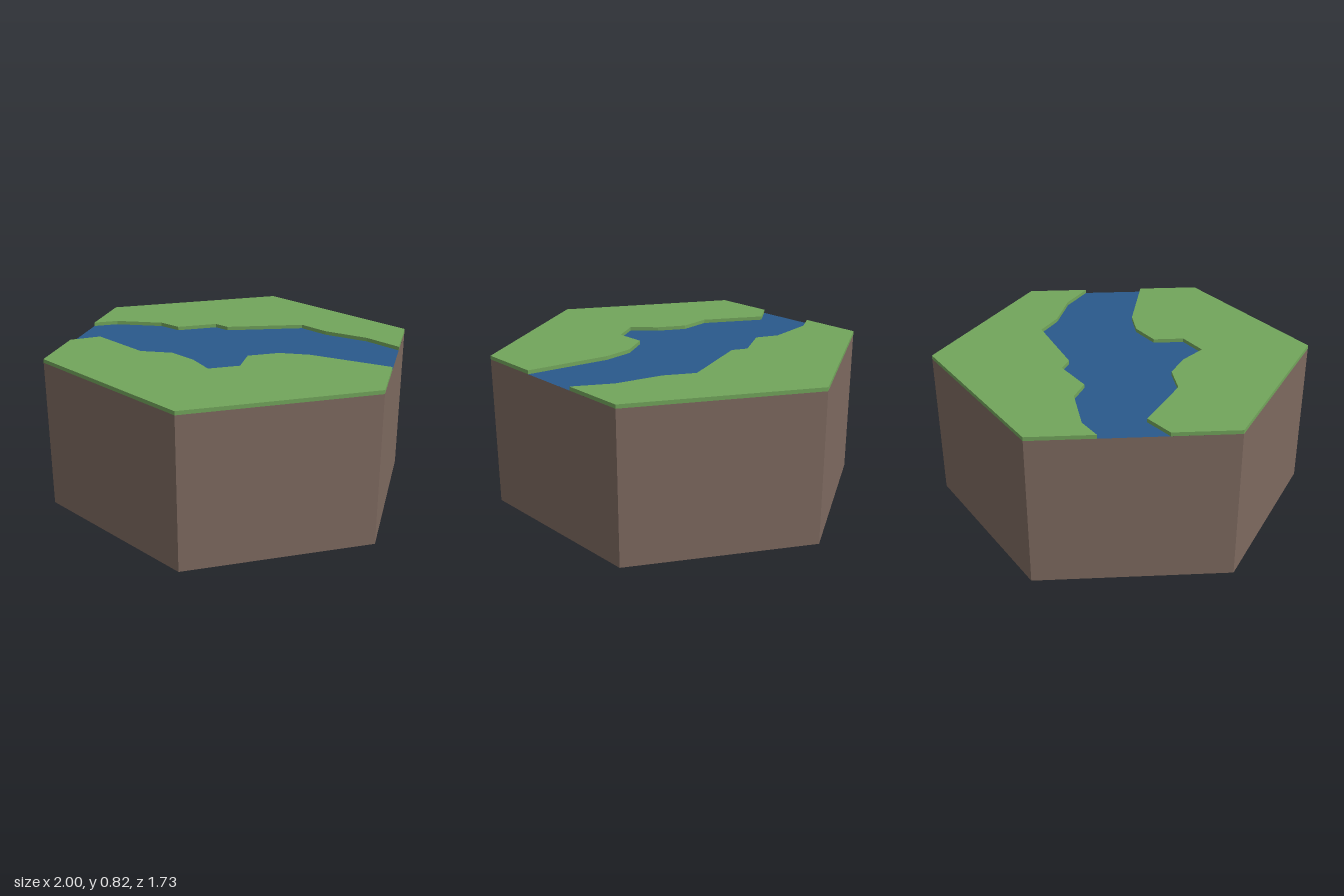
import * as THREE from 'three';

const BASE = 0.8, TURF = 0.02, H = Math.sqrt(3) / 2;

// River banks as [x, z], running from the back-left edge to the front-right edge
const backBank = [
  [-0.667, -0.577], [-0.535, -0.577], [-0.295, -0.475], [-0.22, -0.37], [0, -0.37],
  [0.05, -0.297], [0.47, -0.225], [0.555, -0.075], [0.73, 0.1], [0.833, 0.289],
];
const frontBank = [
  [-0.833, -0.289], [-0.67, -0.305], [-0.5, 0], [-0.345, 0.072], [-0.265, 0.21], [-0.225, 0.36],
  [-0.06, 0.36], [0.02, 0.22], [0.19, 0.22], [0.335, 0.29], [0.667, 0.577],
];

const toShape = (points) => new THREE.Shape(points.map(([x, z]) => new THREE.Vector2(x, -z)));

export function createModel() {
  const group = new THREE.Group();
  const material = (color) => new THREE.MeshStandardMaterial({ color, flatShading: true });
  const soil = material(0x7d695f), grass = material(0x72a55b), water = material(0x2a598b);

  const add = (name, geometry, mat, y) => {
    const mesh = new THREE.Mesh(geometry, mat);
    mesh.name = name;
    mesh.position.y = y;
    group.add(mesh);
  };

  // Hexagonal soil block, corners on the x axis; its top is covered by turf and water
  add('soilSides', new THREE.CylinderGeometry(1, 1, BASE, 6, 1, true, Math.PI / 6), soil, BASE / 2);
  add('soilBottom', new THREE.CircleGeometry(1, 6).rotateX(Math.PI / 2), soil, 0);

  // River surface, level with the top of the soil
  const river = toShape([...backBank, ...[...frontBank].reverse()]);
  add('river', new THREE.ShapeGeometry(river).rotateX(-Math.PI / 2), water, BASE);

  // Turf slabs on both sides of the river
  const slab = (points) =>
    new THREE.ExtrudeGeometry(toShape(points), { depth: TURF, bevelEnabled: false }).rotateX(-Math.PI / 2);
  add('backTurf', slab([...backBank, [1, 0], [0.5, -H], [-0.5, -H]]), grass, BASE);
  add('frontTurf', slab([...frontBank, [0.5, H], [-0.5, H], [-1, 0]]), grass, BASE);

  return group;
}
